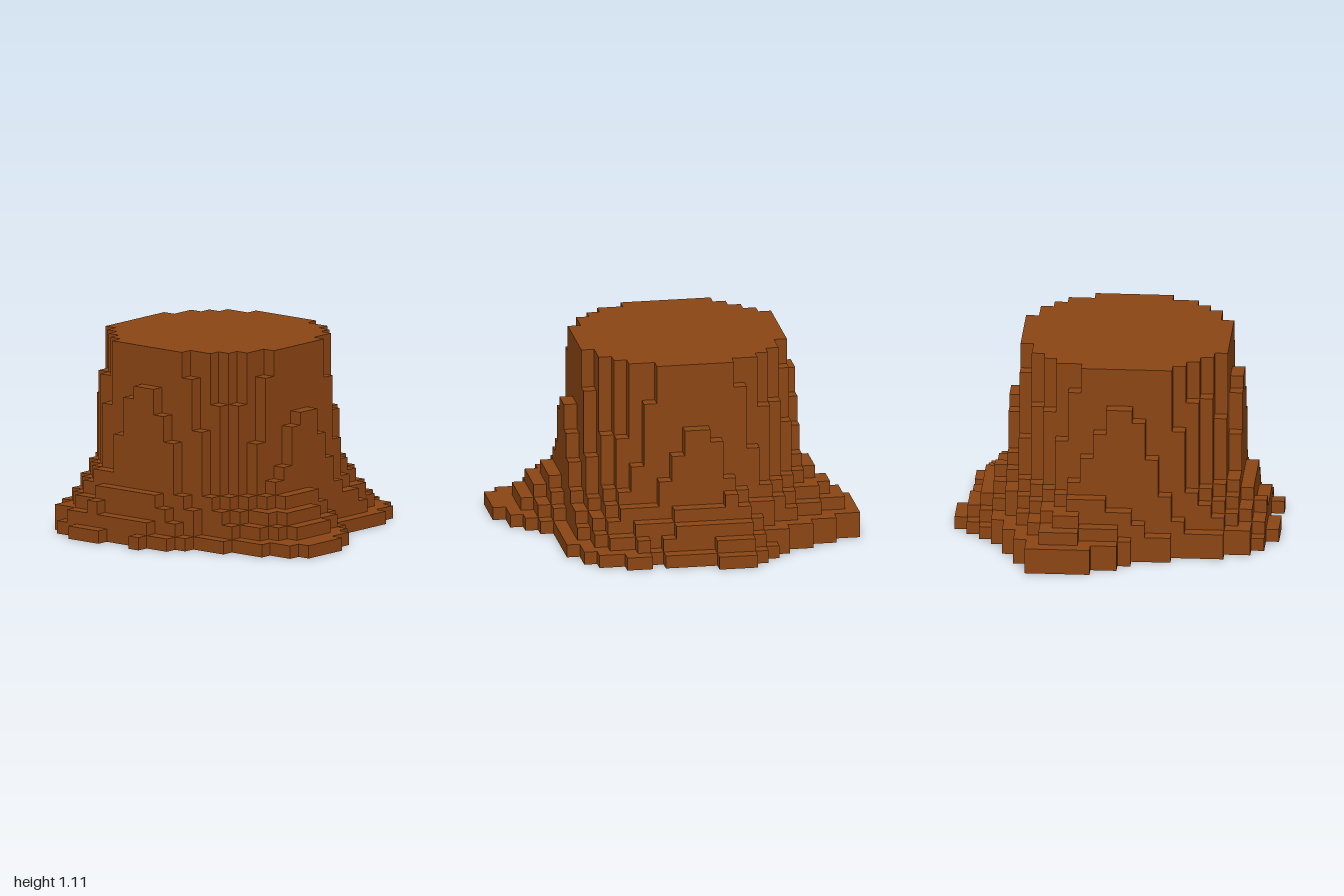
import * as THREE from 'three';

const N = 27, M = 25, CELL = 2 / N, TOP = 15;

// Root outline: for each row from back to front, start and end column of each span
const outline = [
  [9, 12], [8, 16, 17, 19], [7, 21], [6, 22], [4, 22], [2, 23],
  [0, 23], [0, 23], [0, 23], [0, 23], [0, 23], [1, 24], [1, 25], [2, 26], [3, 26],
  [3, 27], [3, 27], [4, 27], [4, 27], [4, 26], [4, 24], [5, 21], [5, 18], [6, 17],
  [8, 11, 14, 15],
];

function inBase(i, k) {
  const row = outline[k] || [];
  for (let s = 0; s < row.length; s += 2) if (i >= row[s] && i < row[s + 1]) return true;
  return false;
}

// Distance in cells to the nearest cell outside the roots
function edgeDistance(i, k) {
  let best = Infinity;
  for (let b = -1; b <= M; b++)
    for (let a = -1; a <= N; a++)
      if (!inBase(a, b)) best = Math.min(best, Math.hypot(a - i, b - k));
  return best;
}

// Column height in cells: flat trunk top, steep bark, then flared roots
function columnHeight(i, k) {
  if (!inBase(i, k)) return 0;
  const dx = i + 0.5 - 12.9, dz = k + 0.5 - 13.1;
  const r = Math.hypot(dx, dz);
  if (r < 8.2) return TOP;
  const edge = edgeDistance(i, k) - 0.5;
  const roots = 1 + 6 * edge / (edge + r - 8.2) - 0.05 * dx;
  const bark = 12.6 - 11 * (r - 8.4);
  return Math.min(13, Math.max(1, Math.floor(Math.max(roots, bark))));
}

function stumpGeometry() {
  const heights = outline.map((_, k) => Array.from({ length: N }, (_, i) => columnHeight(i, k)));
  const h = (i, k) => (heights[k] && heights[k][i]) || 0;
  const pos = [], index = [];
  const quad = (...corners) => {
    const n = pos.length / 3;
    for (const [x, y, z] of corners) pos.push((x - N / 2) * CELL, y * CELL, (z - M / 2) * CELL);
    index.push(n, n + 1, n + 2, n, n + 2, n + 3);
  };
  for (let k = 0; k < M; k++) for (let i = 0; i < N; i++) {
    const t = h(i, k), I = i + 1, K = k + 1;
    if (!t) continue;
    // Top and underside
    quad([i, t, K], [I, t, K], [I, t, k], [i, t, k]);
    quad([i, 0, k], [I, 0, k], [I, 0, K], [i, 0, K]);
    // Walls down to each lower neighbour
    const wall = (b, x0, z0, x1, z1) => {
      if (b < t) quad([x0, b, z0], [x1, b, z1], [x1, t, z1], [x0, t, z0]);
    };
    wall(h(i, k + 1), i, K, I, K);
    wall(h(i, k - 1), I, k, i, k);
    wall(h(i + 1, k), I, K, I, k);
    wall(h(i - 1, k), i, k, i, K);
  }
  const geometry = new THREE.BufferGeometry();
  geometry.setAttribute('position', new THREE.Float32BufferAttribute(pos, 3));
  geometry.setIndex(index);
  geometry.computeVertexNormals();
  return geometry;
}

export function createModel() {
  const group = new THREE.Group();
  group.name = 'treeStump';
  const wood = new THREE.MeshStandardMaterial({ color: 0x8b4513 });
  wood.name = 'brown wood';
  const stump = new THREE.Mesh(stumpGeometry(), wood);
  stump.name = 'trunkAndRoots';
  group.add(stump);
  return group;
}
